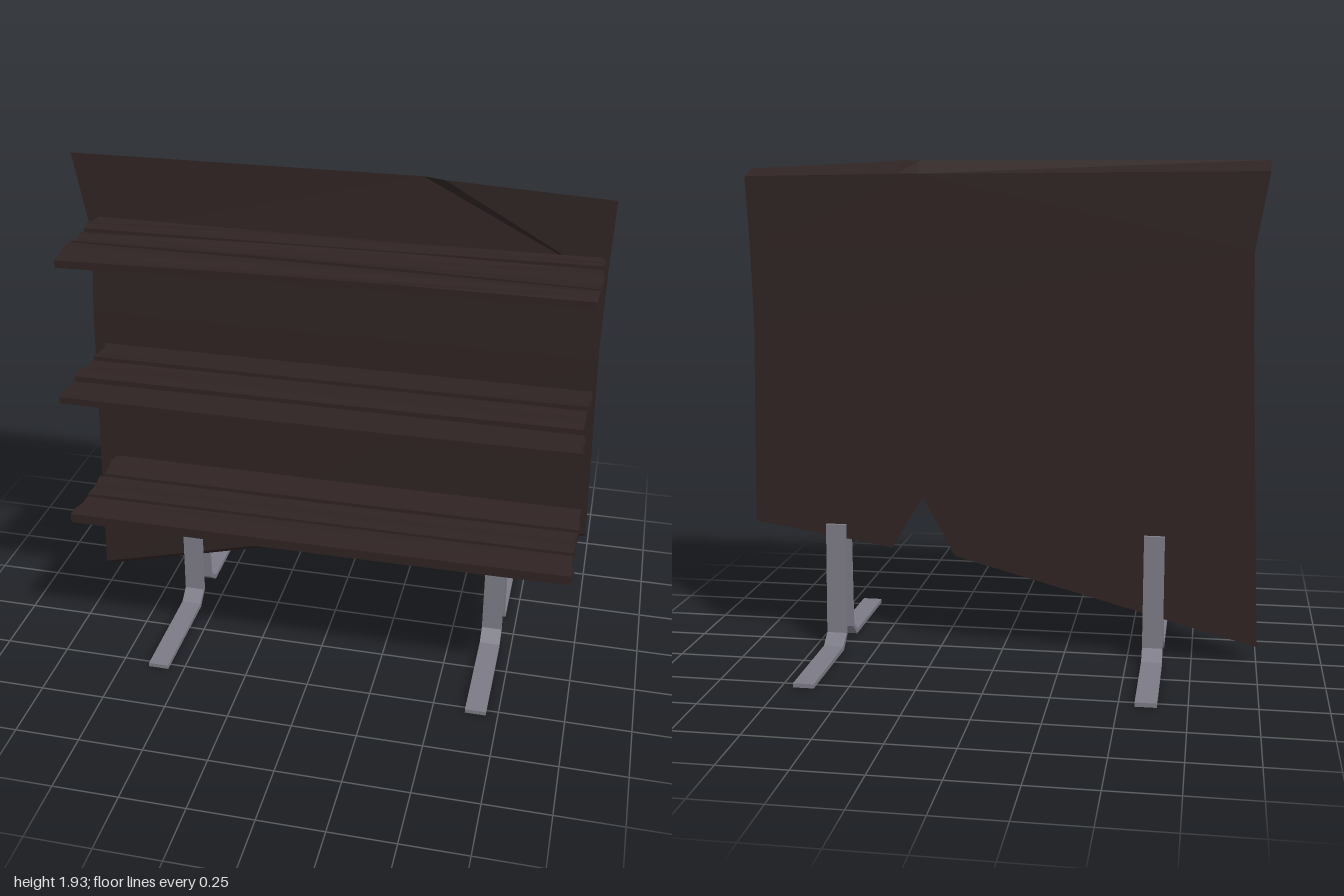
import * as THREE from 'three';

const wood = new THREE.MeshStandardMaterial({ color: 0x2f2323, flatShading: true });
wood.name = 'dark wood';
const metal = new THREE.MeshStandardMaterial({ color: 0x7b7a85, flatShading: true });
metal.name = 'grey metal';

// Solid between a front and a back outline (counter-clockwise [x, y, z] points)
function slab(front, back) {
  const n = front.length, index = [];
  const outline = front.map(p => new THREE.Vector2(p[0], p[1]));
  for (const [a, b, c] of THREE.ShapeUtils.triangulateShape(outline, [])) {
    index.push(a, b, c, n + a, n + c, n + b);
  }
  for (let i = 0; i < n; i++) {
    const j = (i + 1) % n;
    index.push(i, n + i, j, j, n + i, n + j);
  }
  const g = new THREE.BufferGeometry();
  g.setAttribute('position', new THREE.Float32BufferAttribute([...front, ...back].flat(), 3));
  g.setIndex(index);
  const flat = g.toNonIndexed();
  flat.computeVertexNormals();
  return flat;
}

// Repeatable wobble in -1..1
function wobble(a, b, c) {
  const s = Math.sin(a * 12.99 + b * 78.23 + c * 37.72) * 43758.55;
  return (s - Math.floor(s)) * 2 - 1;
}

// Long plank with ragged ends; inner/outer hold z at the right and left ends
function plank(seed, y, thick, inner, outer, tilt, wave) {
  const g = new THREE.BoxGeometry(1, 1, 1, 3, 1, 3);
  const p = g.attributes.position;
  const xs = [-0.91, -0.2, 0.3, 0.975];
  for (let i = 0; i < p.count; i++) {
    const col = Math.round((p.getX(i) + 0.5) * 3);
    const row = Math.round((p.getZ(i) + 0.5) * 3);
    const t = (xs[col] + 0.91) / 1.885, v = row / 3;
    const isEnd = col === 0 || col === 3;
    const z0 = THREE.MathUtils.lerp(inner[0], inner[1], t);
    const z1 = THREE.MathUtils.lerp(outer[0], outer[1], t);
    p.setXYZ(i,
      xs[col] + (isEnd ? 0.01 * wobble(seed, col, row) : 0),
      y + p.getY(i) * thick + tilt * (v - 0.5) + wave * wobble(seed, row, isEnd ? 5 : 6),
      z0 + (z1 - z0) * v);
  }
  g.computeVertexNormals();
  return g;
}

export function createModel() {
  const model = new THREE.Group();
  model.name = 'shelfStand';
  const add = (parent, name, geometry, material) => {
    const mesh = new THREE.Mesh(geometry, material);
    mesh.name = name;
    parent.add(mesh);
    return mesh;
  };

  // Back board: a lower part with a notch, and an upper part leaning back
  const board = new THREE.Group();
  board.name = 'backBoard';
  model.add(board);
  add(board, 'lowerBoard', slab(
    [[-1, 0.12, 0.03], [0.2, 0.435, 0.03], [0.315, 0.625, 0.033], [0.44, 0.455, 0.03],
      [1, 0.545, 0.03], [0.985, 1.3, 0.046], [-0.955, 1.3, 0.046]],
    [[-1, 0.07, -0.03], [0.185, 0.385, -0.03], [0.315, 0.62, -0.03], [0.44, 0.41, -0.03],
      [1, 0.5, -0.03], [0.985, 1.3, -0.032], [-0.955, 1.3, -0.032]]), wood);
  add(board, 'upperBoard', slab(
    [[-0.955, 1.3, 0.046], [0.985, 1.3, 0.046], [0.99, 1.6, 0.038], [1, 1.9, 0.03],
      [0.4, 1.93, 0.03], [0.32, 1.93, 0.005], [-1, 1.93, 0.025], [-0.938, 1.62, 0.036]],
    [[-0.955, 1.3, -0.032], [0.985, 1.3, -0.032], [0.99, 1.6, -0.042], [1, 1.87, -0.052],
      [0.4, 1.88, -0.05], [0.32, 1.88, -0.05], [-1, 1.89, -0.05], [-0.95, 1.6, -0.04]]), wood);

  // Shelves of three planks each: [inner z pair, outer z pair]
  const shelves = [
    { name: 'topShelf', y: 1.677, thick: 0.028, tilt: 0, wave: 0.007,
      planks: [[[0.035, 0.035], [0.18, 0.132]], [[0.187, 0.138], [0.292, 0.318]],
        [[0.3, 0.325], [0.47, 0.42]]] },
    { name: 'middleShelf', y: 1.161, thick: 0.026, tilt: 0.012, wave: 0.003,
      planks: [[[0.035, 0.035], [0.195, 0.195]], [[0.205, 0.205], [0.365, 0.365]],
        [[0.38, 0.38], [0.54, 0.54]]] },
    { name: 'bottomShelf', y: 0.648, thick: 0.037, tilt: 0, wave: 0.003,
      planks: [[[0.055, 0.055], [0.2, 0.2]], [[0.225, 0.225], [0.362, 0.362]],
        [[0.38, 0.38], [0.515, 0.515]]] },
  ];
  shelves.forEach((s, i) => {
    const shelf = new THREE.Group();
    shelf.name = s.name;
    model.add(shelf);
    s.planks.forEach(([inner, outer], k) => {
      add(shelf, 'plank', plank(i * 3 + k + 1, s.y, s.thick, inner, outer, s.tilt, s.wave), wood);
    });
  });

  // Bent metal legs: a strip profile (z, y) extruded across the width
  const leg = (name, x, side, top, shift, reach) => {
    const shape = new THREE.Shape([
      [reach, 0], [reach, 0.016], [0.108 + shift, 0.018], [0.056 + shift, 0.057],
      [0.042 + shift, top], [0.027 + shift, top], [0.04 + shift, 0.05], [0.1 + shift, 0],
    ].map(([z, y]) => new THREE.Vector2(z, y)));
    const g = new THREE.ExtrudeGeometry(shape, { depth: 0.08, bevelEnabled: false });
    g.translate(0, 0, -0.04);
    const mesh = add(model, name, g, metal);
    mesh.rotation.y = -side * Math.PI / 2;
    mesh.position.x = x;
  };
  leg('frontRightLeg', -0.6, 1, 0.495, 0, 0.53);
  leg('frontLeftLeg', 0.665, 1, 0.587, 0, 0.53);
  leg('backRightLeg', -0.6, -1, 0.5, 0.01, 0.54);
  leg('backLeftLeg', 0.665, -1, 0.5, 0.01, 0.54);

  return model;
}
